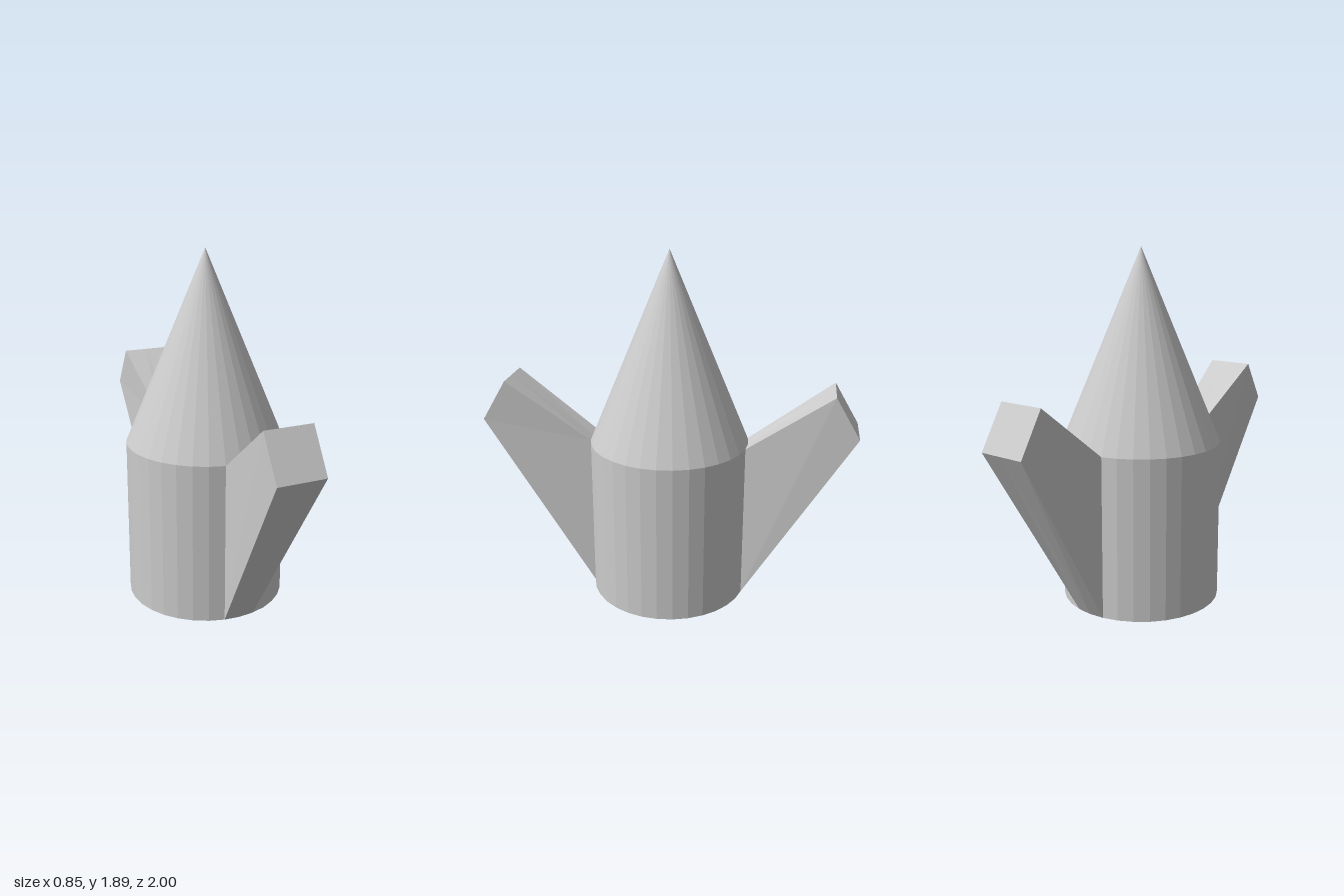
import * as THREE from 'three';

const RADIUS = 0.427, WALL = 0.865, APEX = 1.89, SIDES = 32;

// Flared fin that grows out of two neighbouring wall facets
function finGeometry() {
  const geo = new THREE.BoxGeometry(2, 1, 1, 2, 1, 1);
  const p = geo.attributes.position;
  const step = (Math.PI * 2) / SIDES;
  for (let i = 0; i < p.count; i++) {
    const column = p.getX(i), top = p.getY(i) > 0, outer = p.getZ(i) > 0;
    if (outer) {
      p.setXYZ(i, column * 0.13, top ? 1.19 : 0.97, top ? 0.87 : 1);
    } else {
      const a = column * step;
      p.setXYZ(i, Math.sin(a) * RADIUS, top ? WALL : 0, Math.cos(a) * RADIUS);
    }
  }
  geo.computeVertexNormals();
  return geo;
}

export function createModel() {
  const model = new THREE.Group();
  model.name = 'finnedTower';
  const material = new THREE.MeshStandardMaterial({ color: 0xcccccc, flatShading: true });

  const add = (name, geometry, y = 0) => {
    const mesh = new THREE.Mesh(geometry, material);
    mesh.name = name;
    mesh.position.y = y;
    model.add(mesh);
    return mesh;
  };

  // Straight body with a closed base
  add('body', new THREE.CylinderGeometry(RADIUS, RADIUS, WALL, SIDES), WALL / 2);

  // Pointed nose
  const noseHeight = APEX - WALL;
  add('nose', new THREE.ConeGeometry(RADIUS, noseHeight, SIDES, 1, true), WALL + noseHeight / 2);

  // Two opposite fins
  const fin = finGeometry();
  add('frontFin', fin);
  add('backFin', fin).rotation.y = Math.PI;

  return model;
}
